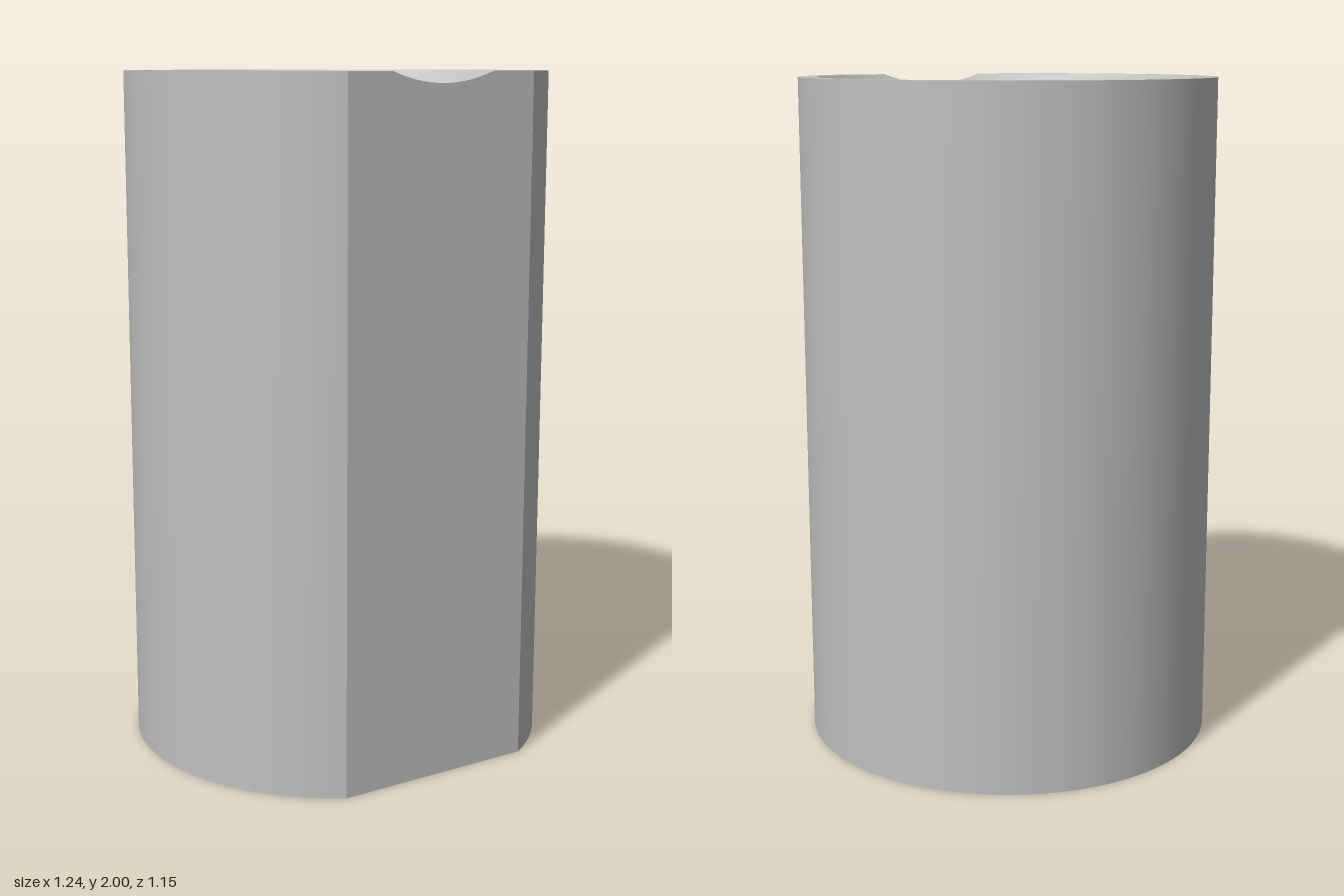
import * as THREE from 'three';
import { toCreasedNormals } from 'three/addons/utils/BufferGeometryUtils.js';

const OUTER = 0.618, MOUTH = 0.562, FLAT = 0.537;   // body radius, mouth radius, distance of the flat from the axis
const CUP = 0.452, SOCKET = 0.441;                  // upper and lower bore radii
const TOP = 2, CONE_DEPTH = 0.14;
const FLOOR = 1.1, CEILING = 0.95;                  // web between the two bores
const AXIS_Z = 0.04;

// Directions around the axis, with exact stops where the flat meets the body and the mouth
const angles = [];
const STEPS = 144;
for (let i = 0; i < STEPS; i++) angles.push(-Math.PI + (i * 2 * Math.PI) / STEPS);
for (const r of [OUTER, MOUTH]) {
  const a = Math.acos(FLAT / r);
  angles.push(a, -a);
}
angles.sort((a, b) => a - b);

// Radius of the body cut by the flat
function bodyRadius(angle) {
  const c = Math.cos(angle);
  return c > 0 ? Math.min(OUTER, FLAT / c) : OUTER;
}

// Height of the conical mouth at a radius
function coneHeight(r) {
  return TOP - CONE_DEPTH * Math.max(0, (MOUTH - r) / (MOUTH - CUP));
}

// Sweeps a profile, a function from angle to [radius, height] points, around the axis
function sweep(profile) {
  const rows = angles.map((a) => profile(a).map(([r, y]) =>
    new THREE.Vector3(r * Math.sin(a), y, AXIS_Z + r * Math.cos(a))));
  const positions = [];
  const addTriangle = (a, b, c) => {
    const area = b.clone().sub(a).cross(c.clone().sub(a)).length();
    if (area > 1e-9) for (const p of [a, b, c]) positions.push(p.x, p.y, p.z);
  };
  rows.forEach((row, i) => {
    const next = rows[(i + 1) % rows.length];
    for (let j = 0; j < row.length - 1; j++) {
      addTriangle(row[j], next[j], next[j + 1]);
      addTriangle(row[j], next[j + 1], row[j + 1]);
    }
  });
  const geometry = new THREE.BufferGeometry();
  geometry.setAttribute('position', new THREE.Float32BufferAttribute(positions, 3));
  return toCreasedNormals(geometry, 0.35);
}

export function createModel() {
  const group = new THREE.Group();
  group.name = 'flattedSleeve';
  const grey = new THREE.MeshStandardMaterial({ color: 0xc0c0c0 });
  grey.name = 'grey';

  const add = (name, profile) => {
    const mesh = new THREE.Mesh(sweep(profile), grey);
    mesh.name = name;
    group.add(mesh);
  };

  // Bottom ring, outer wall with its flat, and top rim
  add('body', (a) => {
    const r = bodyRadius(a);
    const inner = Math.min(MOUTH, r);
    return [[SOCKET, 0], [r, 0], [r, coneHeight(r)], [inner, coneHeight(inner)]];
  });

  // Conical lead-in, notched where the flat cuts it
  add('conicalMouth', (a) => {
    const r = Math.min(MOUTH, bodyRadius(a));
    return [[r, coneHeight(r)], [CUP, TOP - CONE_DEPTH]];
  });

  // Upper bore and its floor
  add('upperBore', () => [[CUP, TOP - CONE_DEPTH], [CUP, FLOOR], [0, FLOOR]]);

  // Lower bore and its ceiling
  add('lowerBore', () => [[0, CEILING], [SOCKET, CEILING], [SOCKET, 0]]);

  return group;
}
